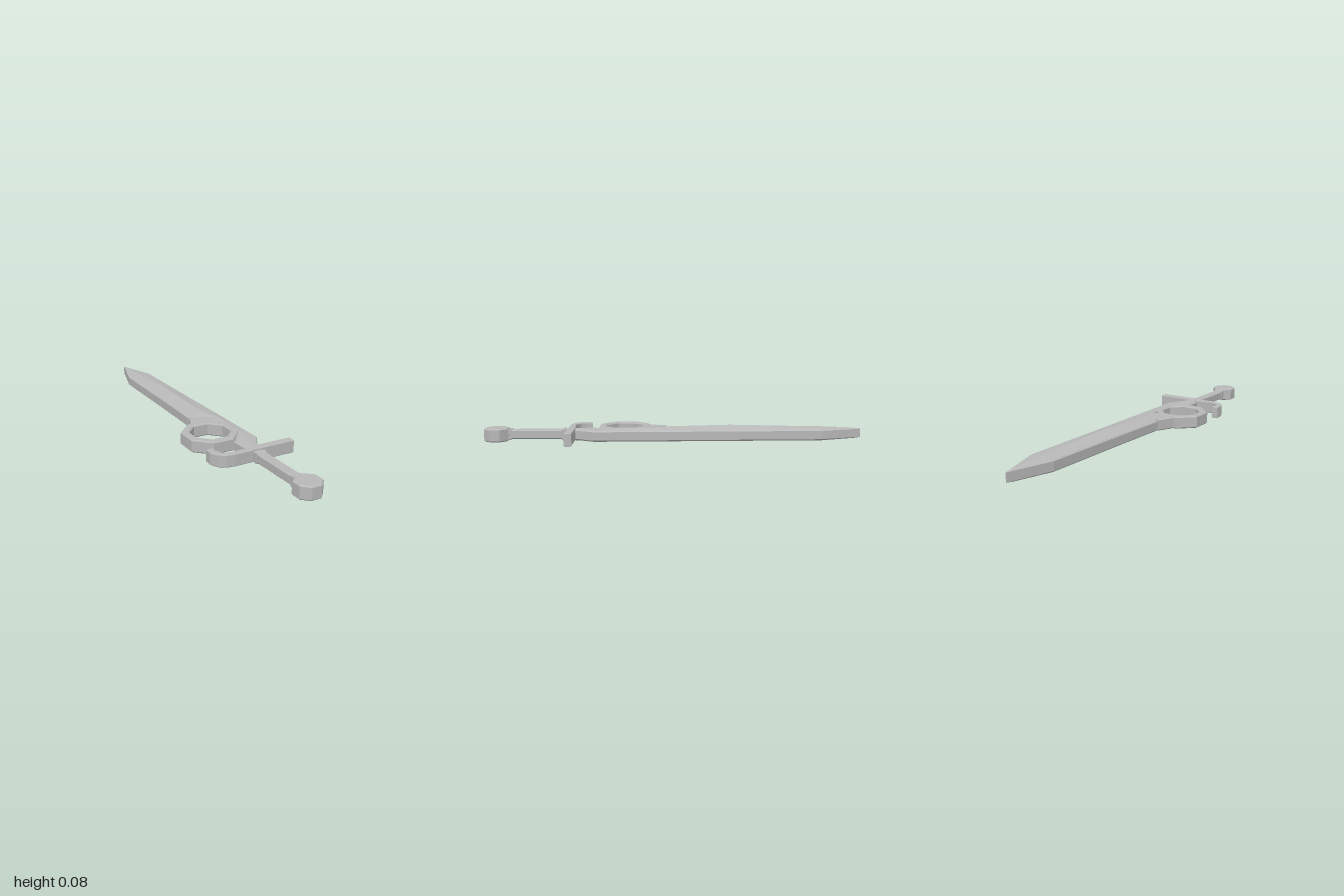
import * as THREE from 'three';

const steel = new THREE.MeshStandardMaterial({ color: 0xb8b8b8, flatShading: true });
steel.name = 'grey steel';

function add(group, name, geometry) {
  const mesh = new THREE.Mesh(geometry, steel);
  mesh.name = name;
  group.add(mesh);
}

// Points are [x, z] on the ground plane
const toPoints = (list) => list.map(([x, z]) => new THREE.Vector2(x, -z));

// Flat plate with chamfered rims, lying between heights y0 and y1
function slab(outline, y0, y1, bevel, hole) {
  const shape = new THREE.Shape(toPoints(outline));
  // The hole runs opposite to the outline so that its walls face inwards
  if (hole) shape.holes.push(new THREE.Path(toPoints(hole).reverse()));
  const geometry = new THREE.ExtrudeGeometry(shape, {
    depth: y1 - y0 - 2 * bevel, bevelEnabled: true, bevelSegments: 1,
    bevelSize: bevel, bevelThickness: bevel, bevelOffset: -bevel,
  });
  geometry.rotateX(-Math.PI / 2);
  geometry.translate(0, y0 + bevel, 0);
  return geometry;
}

// Octagon with flat sides facing the axes
function octagon(cx, cz, apothem) {
  const r = apothem / Math.cos(Math.PI / 8);
  return Array.from({ length: 8 }, (_, i) => {
    const a = (i + 0.5) * Math.PI / 4;
    return [cx + r * Math.cos(a), cz + r * Math.sin(a)];
  });
}

const rect = (x0, x1, z0, z1) => [[x0, z0], [x1, z0], [x1, z1], [x0, z1]];

// Blade lofted through cross-sections with a flat underside and a ridged top
function bladeGeometry() {
  // z, left x, right x, ridge x, ridge height, left rim height
  const stations = [
    [-1.0, 0.001, 0.005, 0.003, 0.058, 0.057],
    [-0.965, -0.008, 0.016, 0.004, 0.063, 0.061],
    [-0.775, -0.063, 0.079, 0.008, 0.070, 0.062],
    [-0.3, -0.069, 0.085, 0.010, 0.081, 0.062],
    [0.03, -0.076, 0.090, 0.014, 0.074, 0.062],
    [0.10, 0.033, 0.091, 0.050, 0.072, 0.071],
    [0.34, 0.033, 0.094, 0.055, 0.067, 0.066],
    [0.42, -0.037, 0.095, 0.028, 0.066, 0.062],
    [0.5, -0.032, 0.046, 0.007, 0.066, 0.062],
    [0.54, -0.030, 0.040, 0.005, 0.066, 0.062],
  ];
  const rings = stations.map(([z, l, r, m, h, rim]) => {
    const c = Math.min(0.007, (r - l) * 0.2);
    return [[l + c, 0.012 - c], [r - c, 0.012 - c], [r, 0.012], [r, 0.056],
      [r - c, 0.056 + c * 0.86], [m, h], [l + c, rim], [l, rim - c * 0.86], [l, 0.012],
    ].map(([x, y]) => [x, y, z]);
  });
  const n = rings[0].length, last = rings.length - 1, index = [];
  for (let i = 0; i < last; i++) {
    for (let j = 0; j < n; j++) {
      const a = i * n + j, b = i * n + (j + 1) % n;
      index.push(a, b, b + n, a, b + n, a + n);
    }
  }
  for (let j = 1; j < n - 1; j++) {
    index.push(0, j + 1, j, last * n, last * n + j, last * n + j + 1);
  }
  const geometry = new THREE.BufferGeometry();
  geometry.setAttribute('position', new THREE.Float32BufferAttribute(rings.flat(2), 3));
  geometry.setIndex(index);
  const flat = geometry.toNonIndexed();
  flat.computeVertexNormals();
  return flat;
}

export function createModel() {
  const sword = new THREE.Group();
  sword.name = 'sword';

  add(sword, 'blade', bladeGeometry());

  // Octagonal ring let into the side of the blade, and its web
  add(sword, 'bladeRing', slab(octagon(-0.079, 0.264, 0.136), 0.002, 0.069, 0.006,
    octagon(-0.079, 0.264, 0.096)));
  add(sword, 'ringWeb', slab([[-0.075, 0.035], [0.036, 0.1], [0.039, 0.16],
    [-0.025, 0.145], [-0.119, 0.135]], 0.003, 0.067, 0.006));

  // Crossguard: straight arm on one side, hooked arm on the other
  add(sword, 'guardBar', slab(rect(-0.021, 0.214, 0.521, 0.561), 0.003, 0.07, 0.004));
  add(sword, 'guardHook', slab([
    [-0.016, 0.561], [-0.116, 0.561], [-0.161, 0.554], [-0.194, 0.528], [-0.21, 0.492],
    [-0.209, 0.453], [-0.174, 0.448], [-0.175, 0.484], [-0.165, 0.51], [-0.143, 0.526],
    [-0.111, 0.531], [-0.016, 0.527]], 0.003, 0.068, 0.004));

  // Grip with a collar at each end
  add(sword, 'grip', slab(rect(-0.02, 0.031, 0.55, 0.89), 0.011, 0.06, 0.006));
  for (const [z0, z1] of [[0.572, 0.595], [0.857, 0.873]]) {
    add(sword, 'gripCollar', slab(rect(-0.023, 0.034, z0, z1), 0.006, 0.064, 0.004));
  }

  add(sword, 'pommel', slab(octagon(0.007, 0.937, 0.063), 0, 0.07, 0.006));
  return sword;
}
